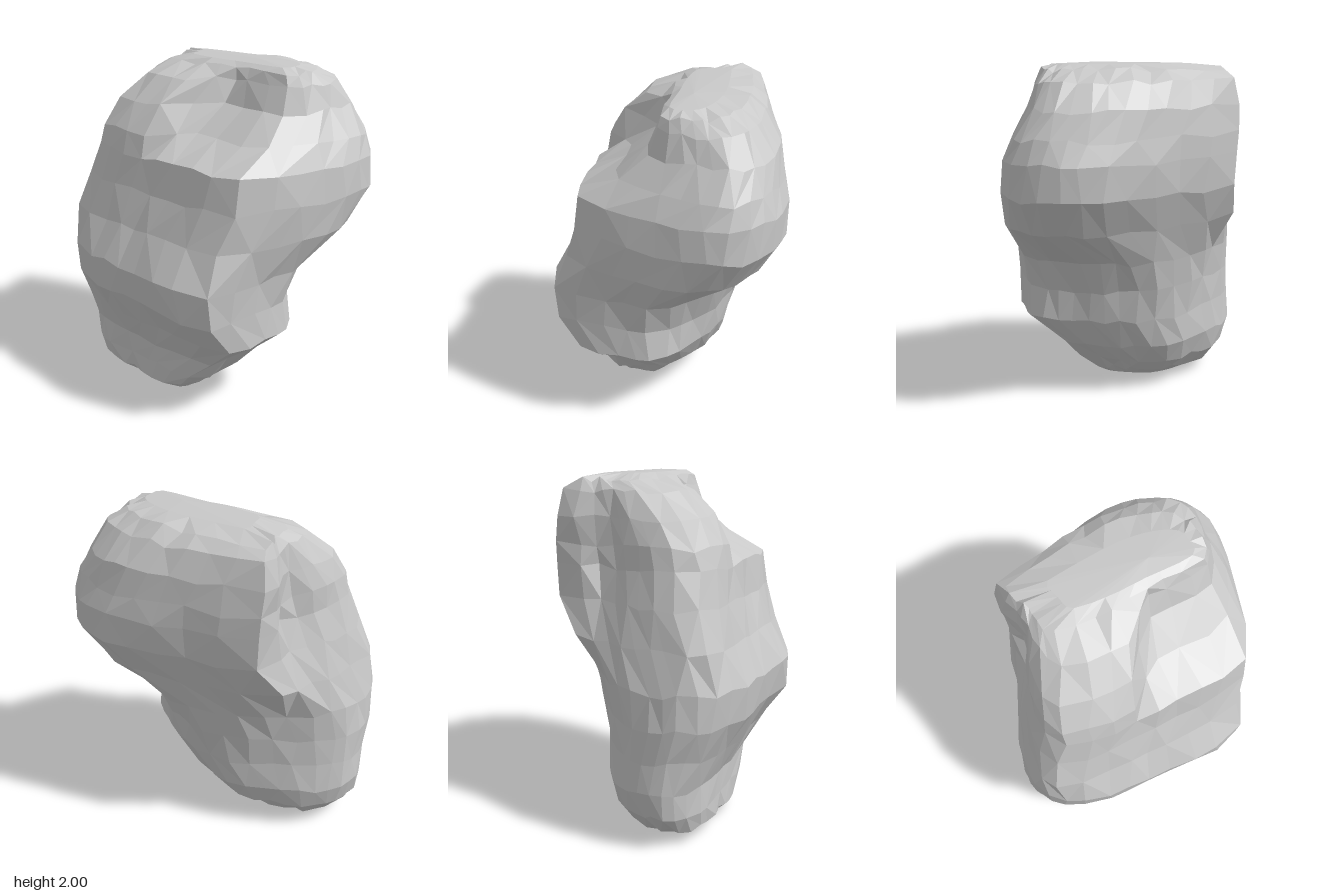
import * as THREE from 'three';

const SEGMENTS = 32;

// Height, then x,z of the four corners: front left, front right, back right, back left (as seen from the front)
const sections = [
  [0.00, -0.54, 0.38, 0.01, 0.36, 0.04, 0.08, -0.51, 0.09],
  [0.08, -0.72, 0.49, 0.10, 0.46, 0.17, -0.08, -0.64, -0.05],
  [0.18, -0.80, 0.51, 0.22, 0.45, 0.26, -0.24, -0.74, -0.09],
  [0.32, -0.82, 0.52, 0.36, 0.44, 0.38, -0.38, -0.78, -0.12],
  [0.50, -0.82, 0.58, 0.57, 0.53, 0.57, -0.48, -0.78, -0.13],
  [0.69, -0.82, 0.66, 0.54, 0.67, 0.58, -0.56, -0.78, -0.15],
  [0.88, -0.81, 0.68, 0.53, 0.69, 0.67, -0.64, -0.76, -0.20],
  [1.10, -0.76, 0.59, 0.53, 0.58, 0.92, -0.76, -0.66, -0.30],
  [1.30, -0.71, 0.52, 0.58, 0.51, 0.97, -0.88, -0.61, -0.41],
  [1.49, -0.64, 0.49, 0.57, 0.48, 0.95, -0.88, -0.60, -0.43],
  [1.61, -0.62, 0.46, 0.57, 0.25, 0.86, -0.81, -0.60, -0.43],
  [1.76, -0.56, 0.36, 0.55, 0.08, 0.71, -0.74, -0.60, -0.42],
  [1.90, -0.46, 0.21, 0.53, 0.02, 0.60, -0.61, -0.59, -0.38],
  [1.96, -0.44, 0.04, 0.50, 0.00, 0.51, -0.47, -0.54, -0.34],
  [1.99, -0.30, -0.03, 0.45, -0.04, 0.41, -0.32, -0.36, -0.24],
];

function seededRandom(seed) {
  return () => {
    seed = (seed * 16807) % 2147483647;
    return seed / 2147483647 - 0.5;
  };
}

// Corner sharpness: crisp above, more worn below, with the lower back right cut away diagonally
function sharpness(c, s, y) {
  const upper = THREE.MathUtils.smoothstep(y, 0.85, 1.2);
  const [low, high] = s > 0 ? (c > 0 ? [8, 8] : [2.7, 6]) : (c > 0 ? [1.25, 1.7] : [2, 12]);
  return THREE.MathUtils.lerp(low, high, upper);
}

// Loop through a section's corners
function sectionPoint([y, flx, flz, frx, frz, brx, brz, blx, blz], angle) {
  const c = Math.cos(angle), s = Math.sin(angle), n = sharpness(c, s, y);
  const r = Math.pow(Math.abs(c) ** n + Math.abs(s) ** n, -1 / n);
  const u = (c * r + 1) / 2, v = (s * r + 1) / 2;
  const mix = THREE.MathUtils.lerp;
  // Near the top the front steps back abruptly, which makes the hollow and its shelf
  const step = y > 1.4 ? THREE.MathUtils.smoothstep(u, 0.4, 0.58) : u;
  let x = mix(mix(blx, brx, u), mix(flx, frx, u), v);
  const z = mix(mix(blz, brz, u), mix(flz, frz, step), v);
  // Upright groove in the left-hand face
  if (u < 0.25) x += 0.12 * Math.exp(-(((z + 0.14) / 0.15) ** 2) - ((y - 1.5) / 0.42) ** 2);
  return [x, y, z];
}

function rockGeometry() {
  const random = seededRandom(41);
  const positions = [], index = [];
  const last = sections.length - 1;
  sections.forEach((section, i) => {
    const rough = i === 0 || i === last ? 0 : 0.02;
    for (let j = 0; j < SEGMENTS; j++) {
      const angle = ((j + random() * 0.3) / SEGMENTS) * Math.PI * 2;
      const [x, y, z] = sectionPoint(section, angle);
      positions.push(x + random() * rough, y + random() * rough * 1.6, z + random() * rough);
    }
  });

  // Facets between neighbouring loops, with mixed diagonals
  for (let i = 0; i < last; i++) {
    for (let j = 0; j < SEGMENTS; j++) {
      const k = (j + 1) % SEGMENTS;
      const a = i * SEGMENTS + j, b = i * SEGMENTS + k;
      const c = a + SEGMENTS, d = b + SEGMENTS;
      if ((i + j) % 2) index.push(a, c, b, b, c, d);
      else index.push(a, c, d, a, d, b);
    }
  }

  // Base and crown
  const base = positions.length / 3, crown = base + 1;
  positions.push(-0.25, 0, 0.24, 0.2, 2, -0.13);
  for (let j = 0; j < SEGMENTS; j++) {
    const k = (j + 1) % SEGMENTS;
    index.push(j, k, base);
    index.push(last * SEGMENTS + j, crown, last * SEGMENTS + k);
  }

  const geometry = new THREE.BufferGeometry();
  geometry.setAttribute('position', new THREE.Float32BufferAttribute(positions, 3));
  geometry.setIndex(index);
  const faceted = geometry.toNonIndexed();
  faceted.computeVertexNormals();
  return faceted;
}

export function createModel() {
  const stone = new THREE.MeshStandardMaterial({ color: 0xc8c8c8, flatShading: true });
  stone.name = 'stone grey';
  const rock = new THREE.Mesh(rockGeometry(), stone);
  rock.name = 'rock';
  const group = new THREE.Group();
  group.name = 'boulder';
  group.add(rock);
  return group;
}
